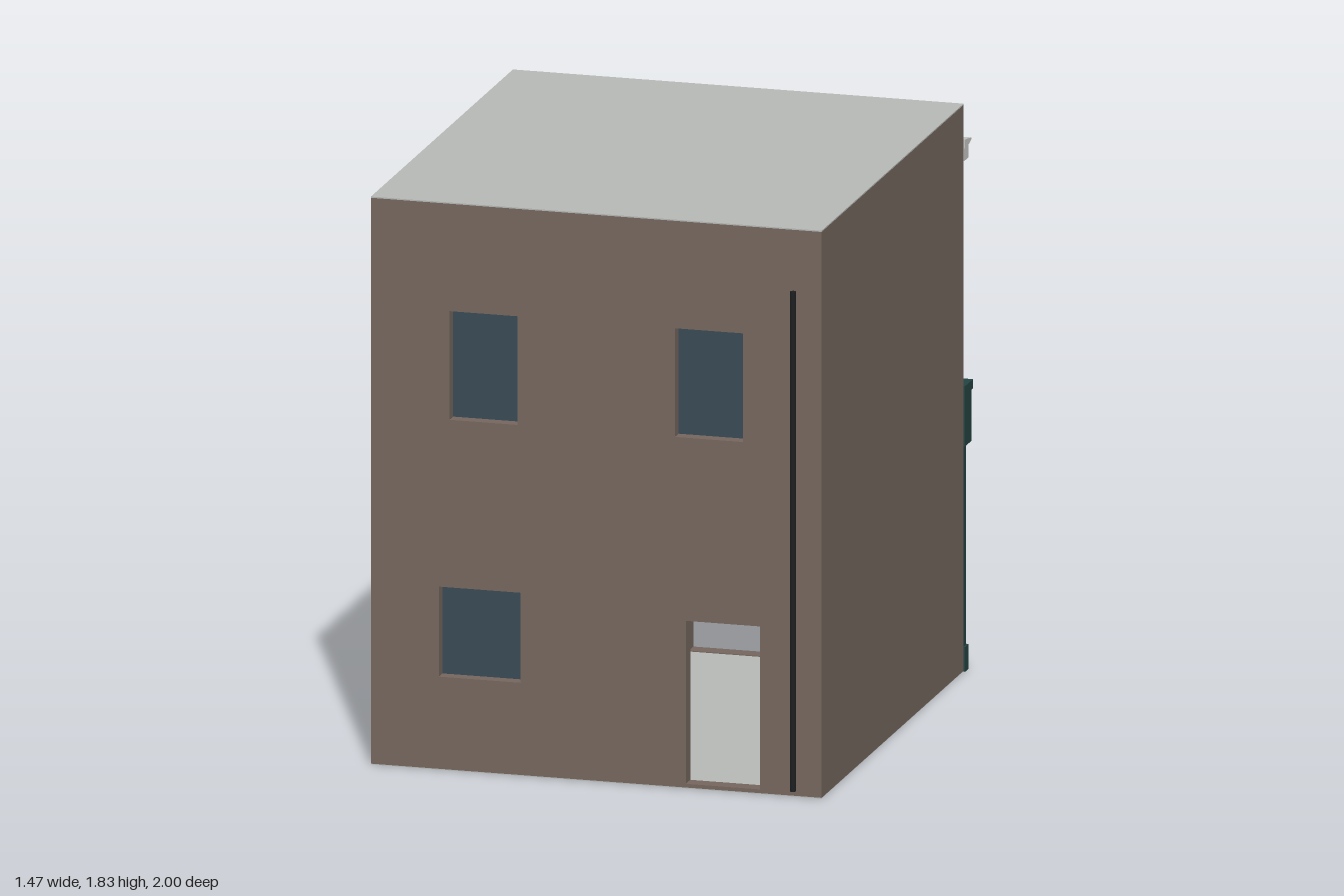
import * as THREE from 'three';

const mat = (name, color) => {
  const m = new THREE.MeshStandardMaterial({ color });
  m.name = name;
  return m;
};

export function createModel() {
  const wall = mat('brown wall', 0x75675f);
  const glass = mat('dark glass', 0x3a4a56);
  const green = mat('dark green paint', 0x234341);
  const stone = mat('pale grey', 0xc6c6c4);
  const slab = mat('roof grey', 0xb6b9b5);
  const black = mat('black iron', 0x1e1f20);

  const model = new THREE.Group();
  model.name = 'shopBuilding';
  const FRONT = 0.98, SHOP = -0.6, T = 0.05, W = 0.73;

  const add = (name, geo, m, parent = model) => {
    const mesh = new THREE.Mesh(geo, m);
    mesh.name = name;
    parent.add(mesh);
    return mesh;
  };
  // Box given by its limits on each axis
  const box = (name, m, x0, x1, y0, y1, z0, z1, parent = model) => {
    const mesh = add(name, new THREE.BoxGeometry(x1 - x0, y1 - y0, z1 - z0), m, parent);
    mesh.position.set((x0 + x1) / 2, (y0 + y1) / 2, (z0 + z1) / 2);
    return mesh;
  };
  // Wall with rectangular openings [x0, x1, y0, y1]
  const wallWithOpenings = (name, z, openings) => {
    const rect = (P, x0, x1, y0, y1) => new P([
      [x0, y0], [x1, y0], [x1, y1], [x0, y1]].map(([x, y]) => new THREE.Vector2(x, y)));
    const shape = rect(THREE.Shape, -W, W, 0.003, 1.826);
    openings.forEach(o => shape.holes.push(rect(THREE.Path, ...o)));
    add(name, new THREE.ExtrudeGeometry(shape, { depth: T, bevelEnabled: false }), wall).position.z = z;
  };
  // Profile in (z, y), extruded along x
  const profile = (name, m, points, halfWidth) => {
    const shape = new THREE.Shape(points.map(([z, y]) => new THREE.Vector2(-z, y)));
    const geo = new THREE.ExtrudeGeometry(shape, { depth: 2 * halfWidth, bevelEnabled: false });
    geo.translate(0, 0, -halfWidth).rotateY(Math.PI / 2);
    return add(name, geo, m);
  };

  // Shell
  const upper = [[-0.475, -0.255, 1.13, 1.48], [0.255, 0.475, 1.13, 1.48]];
  const lowWindow = [-0.51, -0.245, 0.3, 0.59];
  const rearDoor = [0.29, 0.53, 0.015, 0.54];
  const shopWindows = [[-0.61, -0.17, 0.155, 0.69], [0.17, 0.61, 0.155, 0.69]];
  const shopDoor = [-0.145, 0.145, 0.015, 0.585];
  const transom = [-0.125, 0.125, 0.61, 0.69];
  wallWithOpenings('yardWall', FRONT - T, [...upper, lowWindow, rearDoor]);
  wallWithOpenings('shopWall', SHOP, [...upper, ...shopWindows, shopDoor, transom]);
  for (const s of [-1, 1]) {
    const x = s * (W - T / 2);
    box('sideWall', wall, x - T / 2, x + T / 2, 0.003, 1.826, SHOP + T, FRONT - T);
  }
  box('floor', slab, -W + 0.002, W - 0.002, 0, 0.012, SHOP + 0.002, FRONT - 0.002);
  box('roof', slab, -W, W, 1.826, 1.83, SHOP, FRONT);

  // Glass set back in the openings
  const pane = ([x0, x1, y0, y1], z) => box('windowGlass', glass, x0, x1, y0, y1, z - 0.004, z + 0.004);
  [...upper, lowWindow].forEach(o => pane(o, FRONT - T + 0.006));
  upper.forEach(o => pane(o, SHOP + T - 0.006));
  [...shopWindows, transom].forEach(o => pane(o, SHOP + 0.03));

  // Rain pipe
  const pipe = add('rainPipe', new THREE.CylinderGeometry(0.01, 0.01, 1.61, 8), black);
  pipe.position.set(0.64, 0.825, 0.99);

  // Shop door, standing open inward
  const door = new THREE.Group();
  door.name = 'openShopDoor';
  model.add(door);
  const dz0 = SHOP + T, dz1 = dz0 + 0.28;
  box('doorLeaf', wall, -0.165, -0.147, 0.015, 0.58, dz0, dz1, door);
  for (const z of [dz0 + 0.03, dz0 + 0.15])
    box('doorPane', glass, -0.168, -0.144, 0.25, 0.54, z, z + 0.1, door);
  box('doorHandle', black, -0.147, -0.132, 0.2, 0.235, dz1 - 0.025, dz1 - 0.01, door);

  // Shopfront pilasters, plinths, corbels and stall risers
  for (const s of [-1, 1]) {
    const side = (name, m, a, b, y0, y1, z0) =>
      box(name, m, Math.min(s * a, s * b), Math.max(s * a, s * b), y0, y1, z0, SHOP);
    side('pilaster', green, 0.63, 0.729, 0.08, 0.725, -0.632);
    side('plinth', green, 0.62, 0.735, 0, 0.08, -0.638);
    side('corbel', green, 0.62, 0.734, 0.725, 0.89, -0.675);
    side('stallRiser', green, 0.15, 0.63, 0.002, 0.155, -0.618);
    side('shopSill', wall, 0.15, 0.63, 0.155, 0.168, -0.612);
  }
  box('fasciaRail', green, -0.63, 0.63, 0.7, 0.735, -0.63, SHOP);
  box('fasciaPanel', stone, -0.62, 0.62, 0.735, 0.87, -0.618, SHOP);
  box('fasciaTop', green, -0.62, 0.62, 0.87, 0.89, -0.64, SHOP);
  box('shopCornice', green, -0.735, 0.735, 0.89, 0.92, -0.688, SHOP);

  // Sloping awning with a deep front edge
  profile('awning', stone, [[-0.635, 0.703], [-0.635, 0.697], [-1, 0.53], [-1, 0.578]], 0.62);

  // Cornice near the roof
  profile('upperCornice', stone, [[SHOP, 1.715], [SHOP, 1.685], [-0.645, 1.69], [-0.668, 1.698], [-0.668, 1.704]], 0.735);
  box('corniceBand', stone, -0.732, 0.732, 1.645, 1.688, -0.645, SHOP);

  return model;
}
